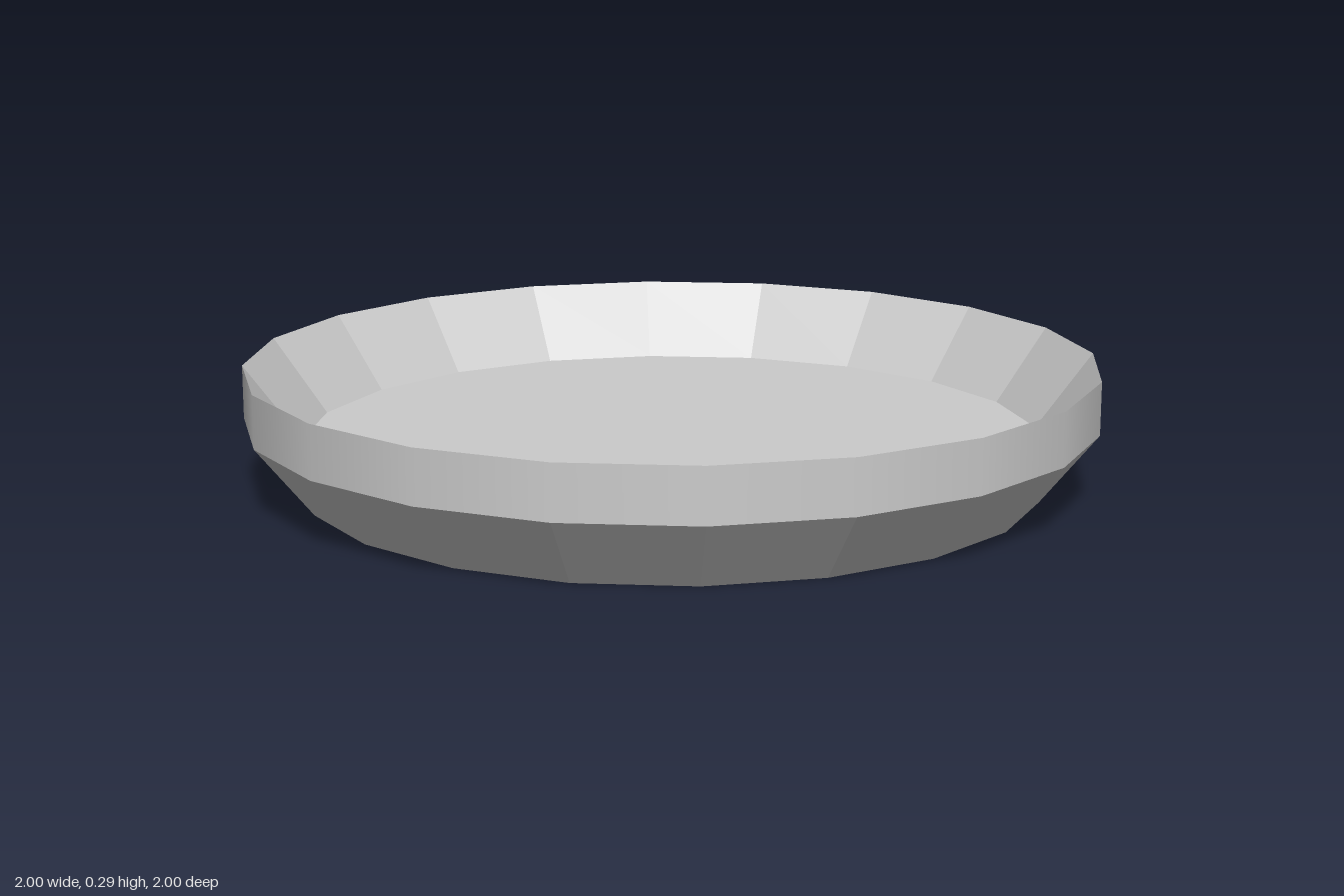
import * as THREE from 'three';

const SIDES = 20;
const RIM_R = 1, BASE_R = 0.867;
const RIM_Y = 0.29, BAND_Y = 0.165, FLOOR_Y = 0.112;

export function createModel() {
  const model = new THREE.Group();
  model.name = 'dish';
  const flat = new THREE.MeshStandardMaterial({ color: 0xcccccc, flatShading: true });
  const smooth = new THREE.MeshStandardMaterial({ color: 0xcccccc });

  // Ring of wall between two profile points; upward faces out, downward faces in
  const addRing = (name, from, to, material) => {
    const profile = [new THREE.Vector2(...from), new THREE.Vector2(...to)];
    const mesh = new THREE.Mesh(new THREE.LatheGeometry(profile, SIDES), material);
    mesh.name = name;
    model.add(mesh);
  };

  // Level disc facing up (facing = 1) or down (facing = -1)
  const addDisc = (name, y, facing) => {
    const geometry = new THREE.CircleGeometry(BASE_R, SIDES).rotateX(-facing * Math.PI / 2);
    const mesh = new THREE.Mesh(geometry, flat);
    mesh.name = name;
    mesh.position.y = y;
    model.add(mesh);
  };

  addDisc('underside', 0, -1);
  addRing('lowerSlope', [BASE_R, 0], [RIM_R, BAND_Y], flat);
  addRing('rimBand', [RIM_R, BAND_Y], [RIM_R, RIM_Y], smooth);
  addRing('innerWall', [RIM_R, RIM_Y], [BASE_R, FLOOR_Y], flat);
  addDisc('floor', FLOOR_Y, 1);

  return model;
}
